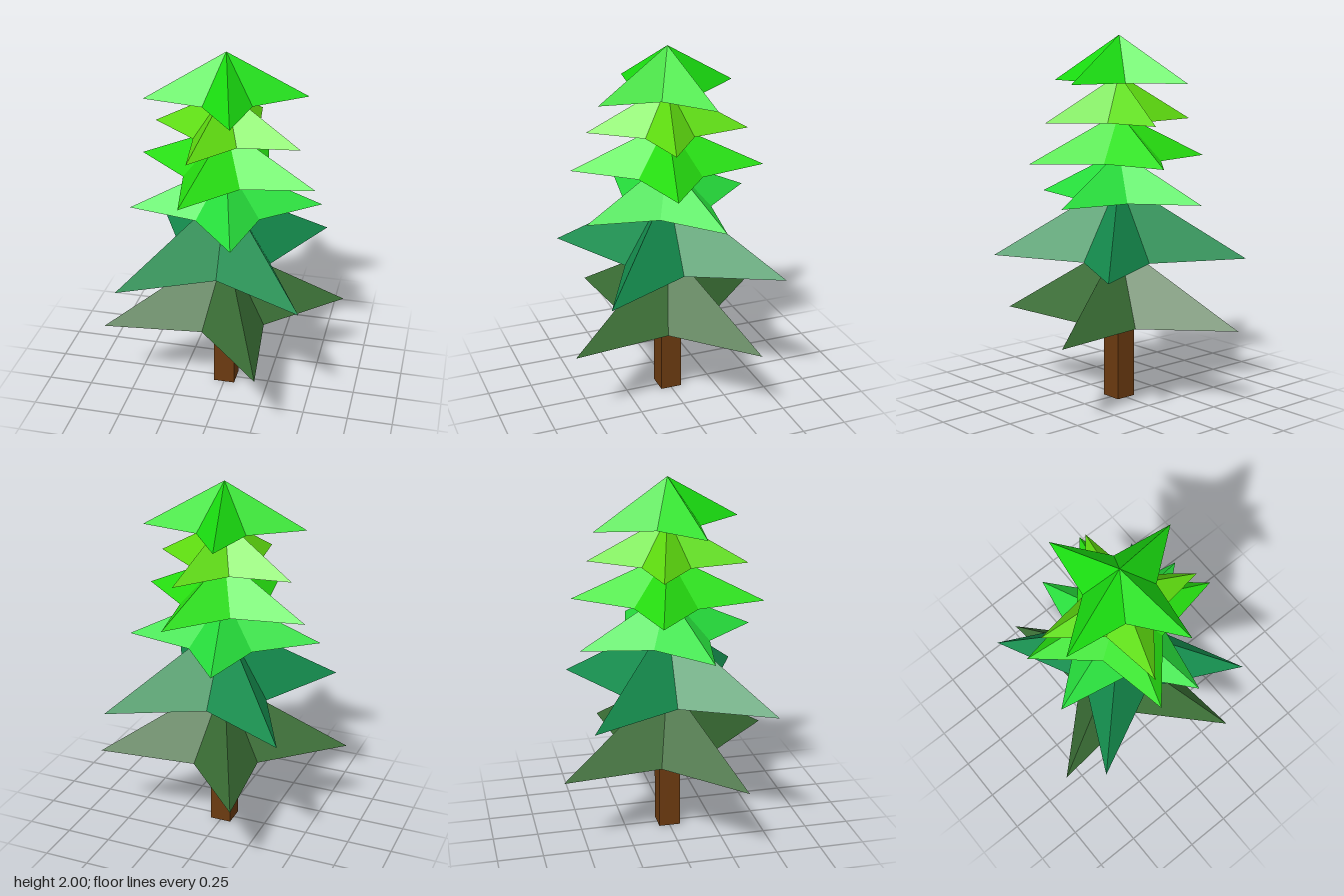
import * as THREE from 'three';

// Four-pointed star pyramid: an eight-sided cone with every second corner pulled inwards
function starCone(tipRadius, innerRadius, height) {
  const geometry = new THREE.ConeGeometry(1, height, 8, 1).toNonIndexed();
  const pos = geometry.attributes.position;
  for (let i = 0; i < pos.count; i++) {
    const x = pos.getX(i), z = pos.getZ(i);
    if (Math.hypot(x, z) < 0.5) continue; // apex and base centre stay put
    const corner = Math.round(Math.atan2(x, z) / (Math.PI / 4));
    const r = corner % 2 === 0 ? tipRadius : innerRadius;
    pos.setXYZ(i, x * r, pos.getY(i), z * r);
  }
  geometry.translate(0, height / 2, 0);
  geometry.computeVertexNormals();
  return geometry;
}

function material(color) {
  return new THREE.MeshStandardMaterial({ color, flatShading: true });
}

export function createModel() {
  const tree = new THREE.Group();
  tree.name = 'tree';

  // Square trunk, reaching a little into the lowest branches
  const trunk = new THREE.Mesh(new THREE.BoxGeometry(0.12, 0.5, 0.12), material(0x6b3a10));
  trunk.name = 'trunk';
  trunk.position.y = 0.25;
  tree.add(trunk);

  // Branch layers from bottom to top: base height, height, tip radius, inner radius, turn, color
  const layers = [
    [0.44, 0.43, 0.697, 0.25, 25, 0x3a6e35],
    [0.79, 0.43, 0.697, 0.25, 45, 0x158f4f],
    [1.12, 0.255, 0.523, 0.24, 15, 0x27e03c],
    [1.33, 0.255, 0.523, 0.24, -15, 0x26e010],
    [1.54, 0.25, 0.433, 0.183, -15, 0x60e010],
    [1.75, 0.25, 0.433, 0.183, 15, 0x1ae010],
  ];
  layers.forEach(([y, height, tip, inner, turn, color], i) => {
    const layer = new THREE.Mesh(starCone(tip, inner, height), material(color));
    layer.name = `branchLayer${i + 1}`;
    layer.position.y = y;
    layer.rotation.y = THREE.MathUtils.degToRad(turn);
    tree.add(layer);
  });

  return tree;
}
